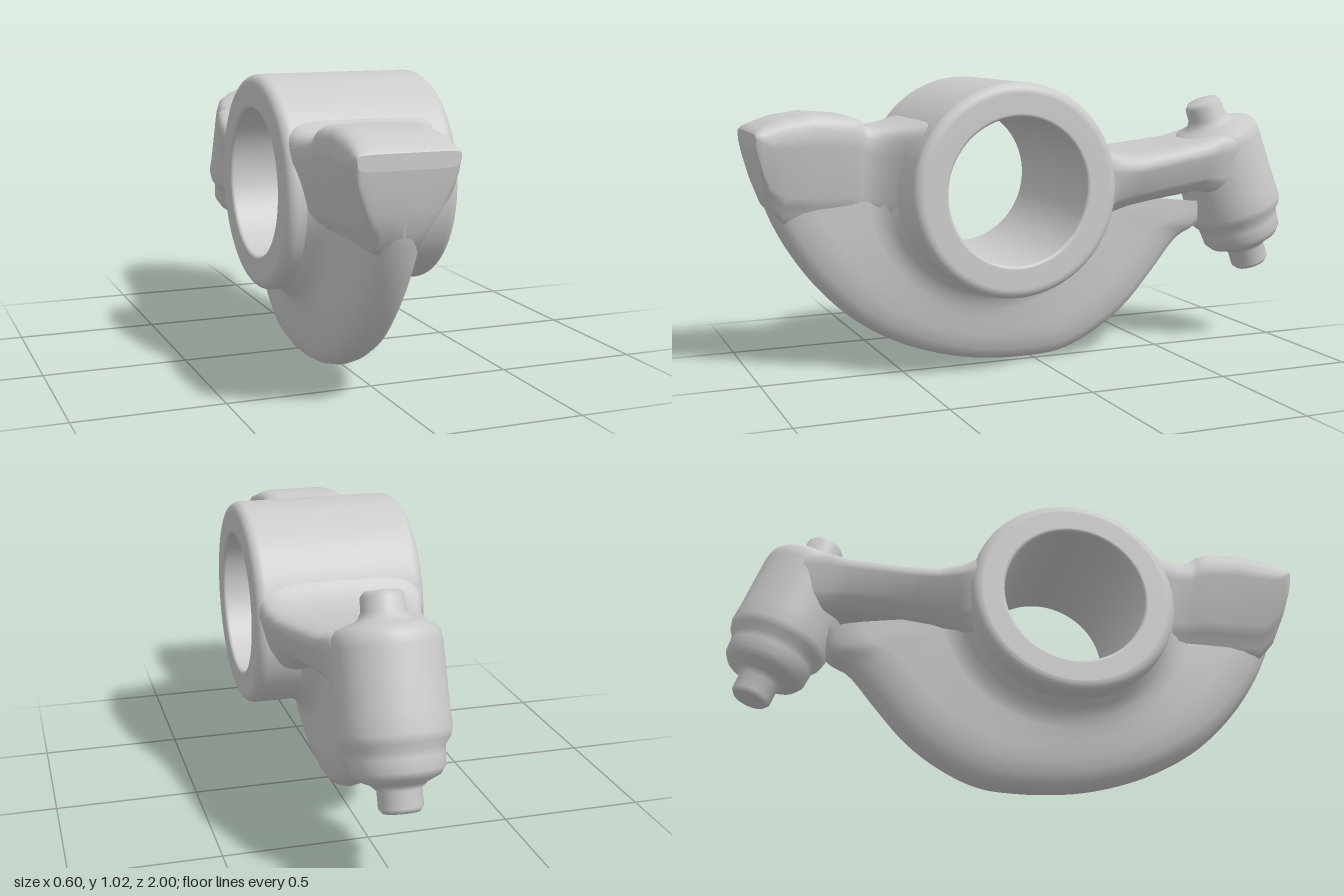
import * as THREE from 'three';

const material = new THREE.MeshStandardMaterial({ color: 0xcccccc });
const BORE_Y = 0.655, BORE_Z = 0.175;

function addMesh(group, name, geometry) {
  const mesh = new THREE.Mesh(geometry, material);
  mesh.name = name;
  group.add(mesh);
  return mesh;
}

// Smooth skin over rows of points; closed rows wrap around and get end caps.
function skin(rows, closed) {
  const n = rows[0].length, positions = [], index = [];
  rows.forEach(row => row.forEach(p => positions.push(...p)));
  for (let i = 0; i < rows.length - 1; i++) {
    for (let j = 0; j < (closed ? n : n - 1); j++) {
      const k = (j + 1) % n;
      const a = i * n + j, b = i * n + k, c = a + n, d = b + n;
      index.push(a, b, c, b, d, c);
    }
  }
  if (closed) {
    [rows[0], rows[rows.length - 1]].forEach((row, end) => {
      const base = positions.length / 3;
      row.forEach(p => positions.push(...p));
      positions.push(...[0, 1, 2].map(k => row.reduce((s, p) => s + p[k], 0) / n));
      for (let j = 0; j < n; j++) {
        const a = base + j, b = base + (j + 1) % n;
        index.push(...(end ? [a, b, base + n] : [b, a, base + n]));
      }
    });
  }
  const geometry = new THREE.BufferGeometry();
  geometry.setAttribute('position', new THREE.Float32BufferAttribute(positions, 3));
  geometry.setIndex(index);
  geometry.computeVertexNormals();
  return geometry;
}

// Rounded-box loft along z. Section: [z, yBottom, yTop, topX0, topX1, bottomX0, bottomX1]
function loft(sections, power) {
  const sides = 48;
  const round = v => Math.sign(v) * Math.abs(v) ** (2 / power);
  return skin(sections.map(([z, y0, y1, t0, t1, b0, b1]) =>
    Array.from({ length: sides }, (_, j) => {
      const a = (j + 0.5) / sides * Math.PI * 2;
      const u = (round(Math.sin(a)) + 1) / 2;
      const k = THREE.MathUtils.smoothstep(u, 0, 0.55);
      const x0 = THREE.MathUtils.lerp(b0, t0, k), x1 = THREE.MathUtils.lerp(b1, t1, k);
      return [(x0 + x1) / 2 + round(Math.cos(a)) * (x1 - x0) / 2, y0 + u * (y1 - y0), z];
    })), true);
}

// Crescent web: each section runs from the hub fillet out to a rounded rim.
function webGeometry() {
  const outline = new THREE.CatmullRomCurve3([
    [0.975, 0.68], [0.94, 0.57], [0.88, 0.45], [0.78, 0.31], [0.65, 0.185], [0.5, 0.095],
    [0.35, 0.04], [0.2, 0.01], [0, 0.004], [-0.12, 0.02], [-0.25, 0.08], [-0.37, 0.17],
    [-0.48, 0.295], [-0.58, 0.415], [-0.66, 0.465], [-0.69, 0.55],
  ].map(([z, y]) => new THREE.Vector3(0, y, z)));
  const hubFillet = [[0.335, 0.2], [0.365, 0.168], [0.385, 0.138], [0.415, 0.118], [0.45, 0.108]];
  const rim = [[0.15, 0.098], [0.1, 0.09], [0.05, 0.076], [0.02, 0.055], [0.006, 0.03], [0, 0]];
  return skin(outline.getPoints(70).map(p => {
    const dy = p.y - BORE_Y, dz = p.z - BORE_Z, reach = Math.hypot(dy, dz);
    const half = [...hubFillet, ...rim.map(([d, w]) => [reach - d, w])];
    const place = side => ([r, w]) => {
      const z = BORE_Z + dz / reach * r;
      return [-0.04 - 0.055 * z + side * w, BORE_Y + dy / reach * r, z];
    };
    return [...half.map(place(1)), ...half.slice(0, -1).reverse().map(place(-1))];
  }), false);
}

// Hub tube with rounded outer and inner edges, turned about the x axis.
function hubGeometry() {
  const profile = [];
  const corner = (r, x, radius, start) => {
    for (let i = 0; i <= 6; i++) {
      const a = start + i / 6 * Math.PI / 2;
      profile.push(new THREE.Vector2(r + Math.cos(a) * radius, x + Math.sin(a) * radius));
    }
  };
  corner(0.33, -0.265, 0.035, -Math.PI / 2);
  corner(0.33, 0.265, 0.035, 0);
  corner(0.262, 0.288, 0.012, Math.PI / 2);
  corner(0.262, -0.288, 0.012, Math.PI);
  profile.push(profile[0].clone());
  return new THREE.LatheGeometry(profile, 80).rotateZ(-Math.PI / 2);
}

export function createModel() {
  const group = new THREE.Group();

  addMesh(group, 'pivotHub', hubGeometry()).position.set(0, BORE_Y, BORE_Z);
  addMesh(group, 'crescentWeb', webGeometry());

  // Contact pad with its neck flaring into the hub
  addMesh(group, 'contactPad', loft([
    [0.44, 0.47, 0.895, -0.295, 0.28, -0.26, 0.24],
    [0.48, 0.49, 0.88, -0.29, 0.24, -0.23, 0.16],
    [0.52, 0.51, 0.868, -0.28, 0.15, -0.2, 0.09],
    [0.57, 0.525, 0.862, -0.265, 0.085, -0.185, 0.04],
    [0.62, 0.53, 0.868, -0.26, 0.055, -0.18, 0.02],
    [0.645, 0.53, 0.892, -0.265, 0.065, -0.18, 0.01],
    [0.68, 0.53, 0.905, -0.27, 0.07, -0.18, 0.01],
    [0.8, 0.53, 0.916, -0.27, 0.07, -0.18, 0],
    [0.9, 0.54, 0.902, -0.27, 0.07, -0.18, -0.01],
    [0.95, 0.6, 0.885, -0.27, 0.07, -0.19, -0.01],
    [0.975, 0.68, 0.874, -0.27, 0.07, -0.23, 0.03],
    [0.992, 0.76, 0.866, -0.268, 0.068, -0.255, 0.05],
    [1.0, 0.805, 0.855, -0.262, 0.062, -0.255, 0.055],
  ], 7));

  // Tapering arm from the hub to the adjuster boss
  addMesh(group, 'taperedArm', loft([
    [-0.76, 0.58, 0.82, -0.15, 0.19, -0.12, 0.16],
    [-0.68, 0.585, 0.815, -0.17, 0.205, -0.13, 0.16],
    [-0.6, 0.6, 0.79, -0.185, 0.22, -0.13, 0.16],
    [-0.4, 0.575, 0.765, -0.22, 0.255, -0.14, 0.17],
    [-0.3, 0.56, 0.755, -0.245, 0.27, -0.15, 0.18],
    [-0.22, 0.54, 0.765, -0.275, 0.285, -0.18, 0.2],
    [-0.17, 0.51, 0.79, -0.29, 0.292, -0.22, 0.23],
    [-0.11, 0.46, 0.87, -0.292, 0.292, -0.25, 0.25],
  ], 6));

  // Tilted adjuster: stepped tip, boss and upper stud
  const adjuster = addMesh(group, 'adjusterBoss', new THREE.LatheGeometry([
    [0, -0.675], [0.058, -0.675], [0.07, -0.66], [0.07, -0.605], [0.088, -0.588],
    [0.13, -0.568], [0.147, -0.545], [0.15, -0.505], [0.153, -0.48], [0.17, -0.458],
    [0.178, -0.43], [0.175, -0.37], [0.173, -0.17], [0.168, -0.135], [0.15, -0.112],
    [0.11, -0.1], [0.082, -0.088], [0.07, -0.065], [0.068, -0.02], [0.055, -0.003], [0, 0],
  ].map(([r, y]) => new THREE.Vector2(r, y)), 40));
  adjuster.position.set(0.022, 0.93, -0.675);
  adjuster.rotation.x = 0.347;

  return group;
}
